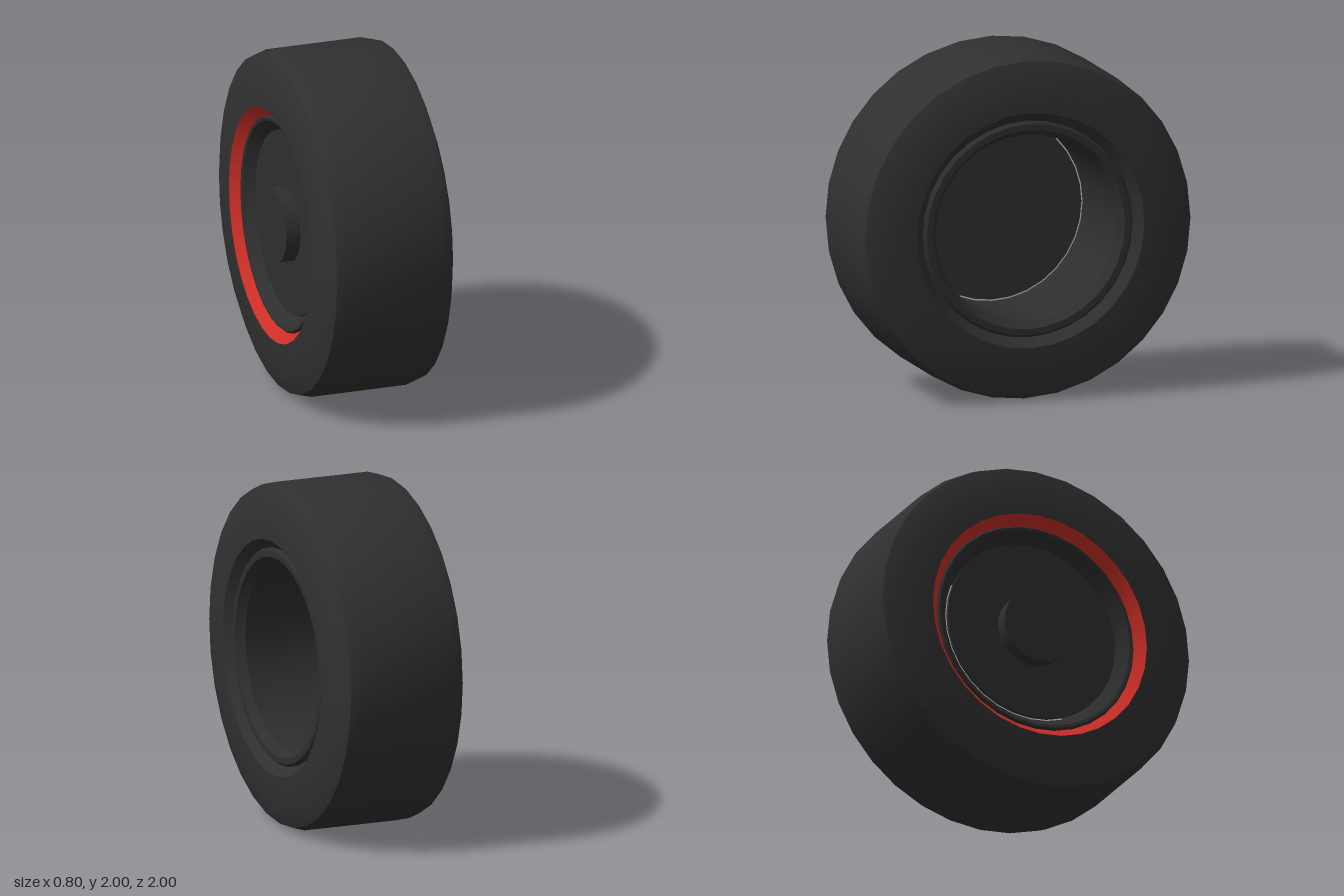
import * as THREE from 'three';
import { toCreasedNormals } from 'three/addons/utils/BufferGeometryUtils.js';

const SIDES = 32;

export function createModel() {
  const model = new THREE.Group();
  model.name = 'wheel';

  const rubber = new THREE.MeshStandardMaterial({ color: 0x303030 });
  const metal = new THREE.MeshStandardMaterial({ color: 0x2e2e2e });
  const red = new THREE.MeshStandardMaterial({ color: 0xcc2e26, side: THREE.DoubleSide });

  // Revolves [radius, x] points around the wheel's x axis
  function revolve(name, profile, material) {
    const points = profile.map(([r, x]) => new THREE.Vector2(r, x));
    const lathe = new THREE.LatheGeometry(points, SIDES).rotateZ(-Math.PI / 2);
    const mesh = new THREE.Mesh(toCreasedNormals(lathe, 0.6), material);
    mesh.name = name;
    mesh.position.y = 1;
    model.add(mesh);
  }

  // Tyre: bead, sidewall, bevelled shoulder and flat tread
  revolve('tyre', [
    [0.685, -0.4], [0.87, -0.393], [0.98, -0.35], [1, -0.285],
    [1, 0.285], [0.98, 0.35], [0.87, 0.393], [0.685, 0.4],
    [0.63, 0.34], [0.63, -0.34],
  ], rubber);

  // Coloured bead ring on the outer side
  revolve('beadRing', [[0.63, -0.34], [0.685, -0.4]], red);

  // Rim: open barrel with a lip at each end
  revolve('rim', [
    [0.545, 0.32], [0.545, -0.28], [0.6, -0.35], [0.618, -0.355], [0.63, -0.34],
    [0.63, 0.355], [0.615, 0.37], [0.58, 0.37], [0.565, 0.345], [0.545, 0.32],
  ], metal);

  // Cover disc, with a narrow gap to the barrel
  revolve('coverDisc', [[0, -0.295], [0.536, -0.295], [0.536, -0.275], [0, -0.275]], metal);

  // Centre hub cap standing out of the disc
  revolve('hubCap', [[0, -0.38], [0.215, -0.38], [0.215, -0.285], [0, -0.285]], metal);

  return model;
}
